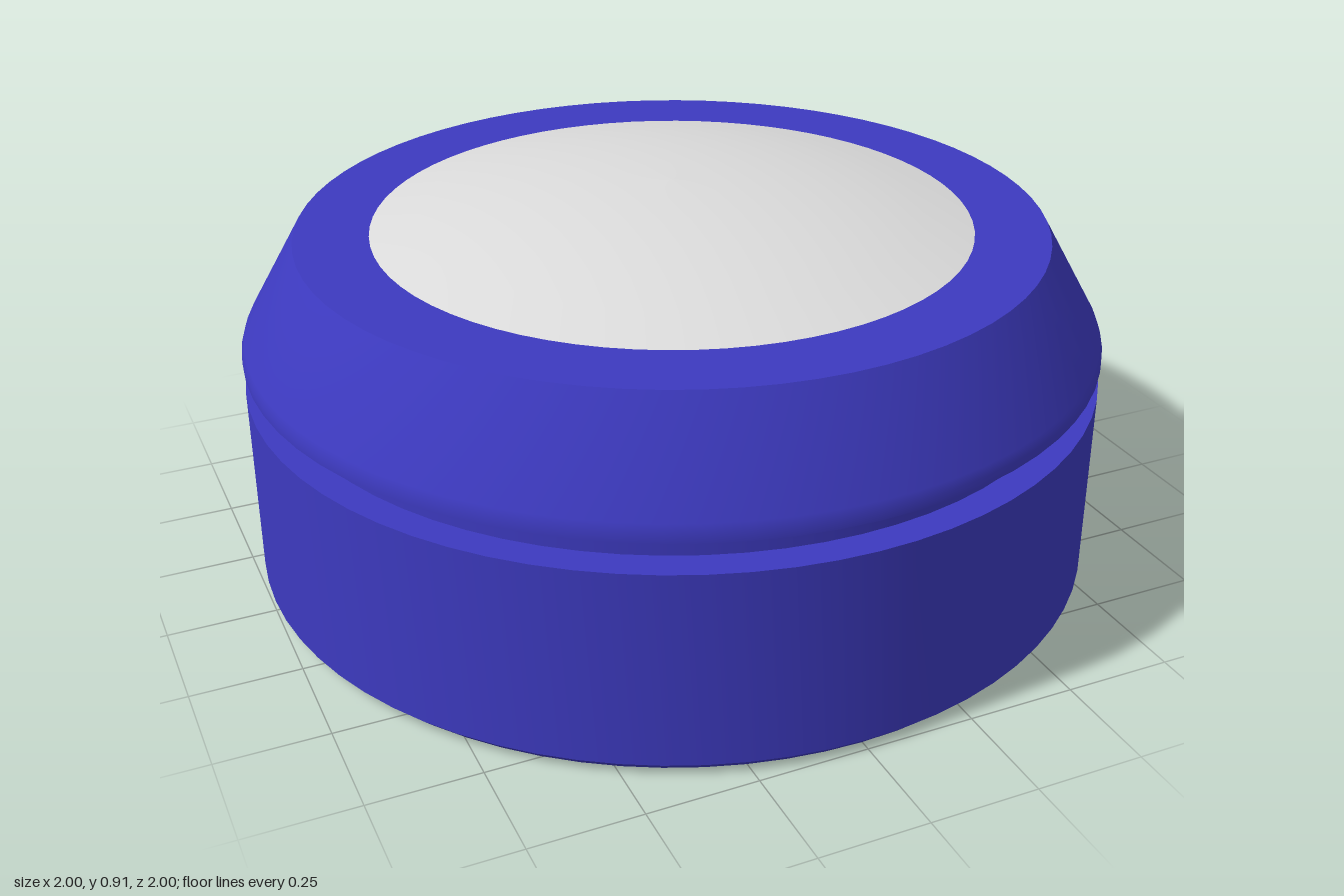
import * as THREE from 'three';
import { toCreasedNormals } from 'three/addons/utils/BufferGeometryUtils.js';

const SEGMENTS = 72;

// Revolve a [radius, height] profile, listed from bottom to top
function revolve(name, profile, material, crease) {
  const points = profile.map(([r, y]) => new THREE.Vector2(r, y));
  let geometry = new THREE.LatheGeometry(points, SEGMENTS);
  if (crease) geometry = toCreasedNormals(geometry, crease);
  const mesh = new THREE.Mesh(geometry, material);
  mesh.name = name;
  return mesh;
}

export function createModel() {
  const blue = new THREE.MeshStandardMaterial({ color: 0x3d3ac0 });
  blue.name = 'blue';
  const grey = new THREE.MeshStandardMaterial({ color: 0xdcdcdc });
  grey.name = 'lightGrey';

  const group = new THREE.Group();
  group.name = 'domedPuck';

  // Drum with a chamfered foot
  group.add(revolve('base', [
    [0, 0], [0.975, 0], [1, 0.025], [1, 0.48], [0.93, 0.48],
  ], blue, 0.4));

  // Recessed neck between drum and collar
  group.add(revolve('neck', [[0.93, 0.48], [0.93, 0.55]], blue));

  // Collar with a short lip, sloping side and flat rim
  group.add(revolve('collar', [
    [0.93, 0.55], [1, 0.55], [1, 0.57], [0.993, 0.59], [0.867, 0.81], [0.695, 0.81],
  ], blue, 0.4));

  // Shallow domed cap, an arc through the rim and the crown
  const rim = 0.695, rise = 0.097;
  const radius = (rim * rim + rise * rise) / (2 * rise);
  const sweep = Math.asin(rim / radius);
  const dome = [];
  const steps = 6;
  for (let i = 0; i <= steps; i++) {
    const a = sweep * (1 - i / steps);
    dome.push([i === steps ? 0 : radius * Math.sin(a), 0.81 + rise - radius * (1 - Math.cos(a))]);
  }
  group.add(revolve('dome', dome, grey));

  return group;
}
